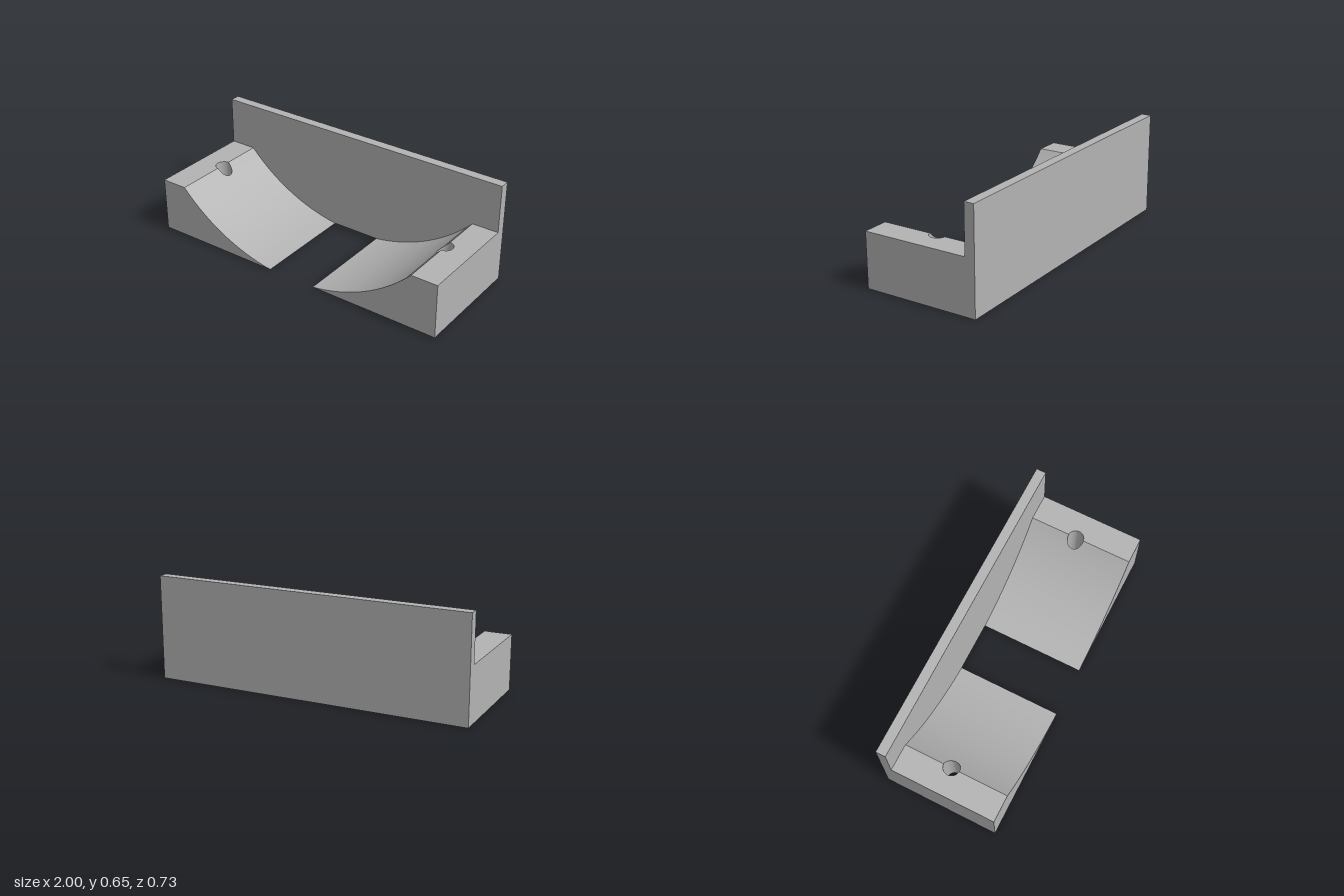
import * as THREE from 'three';
import { toCreasedNormals } from 'three/addons/utils/BufferGeometryUtils.js';

const FRONT = 0.367, BACK = -0.367, PLATE_FRONT = -0.305;
const PLATE_TOP = 0.653, BLOCK_TOP = 0.347;
const INNER = 0.16, EDGE = 0.83;          // x where the cradle arc starts and ends
const HOLE_X = 0.826, HOLE_R = 0.051;

// Circle through (INNER, 0) and (EDGE, BLOCK_TOP), centred on x = 0
const ARC_Y = (EDGE ** 2 - INNER ** 2 + BLOCK_TOP ** 2) / (2 * BLOCK_TOP);
const ARC_R = Math.hypot(INNER, ARC_Y);

// Height of the block's upper surface at x
function height(x) {
  const a = Math.abs(x);
  if (a >= EDGE) return BLOCK_TOP;
  return Math.max(0, ARC_Y - Math.sqrt(ARC_R ** 2 - a * a));
}

// Half depth of the screw hole at x
function holeHalf(x) {
  const d = Math.abs(x) - HOLE_X;
  return Math.sqrt(Math.max(0, HOLE_R ** 2 - d * d));
}

// Cradle block: slices along x, each split in two where the hole passes through
function blockGeometry(side) {
  const cols = [EDGE, 1];
  const holeStart = HOLE_X - HOLE_R;
  for (let i = 0; i <= 20; i++) cols.push(INNER + (holeStart - INNER) * i / 20);
  for (let i = 0; i < 16; i++) cols.push(HOLE_X + HOLE_R * Math.cos(Math.PI * i / 16));
  const xs = cols.map((x) => x * side).sort((a, b) => a - b);

  const pos = [];
  const tri = (a, b, c) => {
    const t = new THREE.Triangle(a, b, c);
    if (t.getArea() > 1e-9) pos.push(...a.toArray(), ...b.toArray(), ...c.toArray());
  };
  const quad = (a, b, c, d) => { tri(a, b, c); tri(a, c, d); };
  const P = (x, y, z) => new THREE.Vector3(x, y, z);

  for (let i = 0; i < xs.length - 1; i++) {
    const x0 = xs[i], x1 = xs[i + 1];
    if (x1 - x0 < 1e-7) continue;
    const h0 = height(x0), h1 = height(x1);
    const s0 = holeHalf(x0), s1 = holeHalf(x1);
    const inHole = holeHalf((x0 + x1) / 2) > 0;
    // Each span: back z at x0 and x1, then front z at x0 and x1
    const spans = inHole
      ? [[PLATE_FRONT, PLATE_FRONT, -s0, -s1], [s0, s1, FRONT, FRONT]]
      : [[PLATE_FRONT, PLATE_FRONT, FRONT, FRONT]];
    for (const [b0, b1, f0, f1] of spans) {
      quad(P(x0, h0, f0), P(x1, h1, f1), P(x1, h1, b1), P(x0, h0, b0));
      quad(P(x0, 0, b0), P(x1, 0, b1), P(x1, 0, f1), P(x0, 0, f0));
      quad(P(x0, 0, f0), P(x1, 0, f1), P(x1, h1, f1), P(x0, h0, f0));
      quad(P(x0, h0, b0), P(x1, h1, b1), P(x1, 0, b1), P(x0, 0, b0));
    }
  }

  // Outer end face
  const end = [P(side, 0, FRONT), P(side, 0, PLATE_FRONT),
    P(side, BLOCK_TOP, PLATE_FRONT), P(side, BLOCK_TOP, FRONT)];
  if (side < 0) end.reverse();
  quad(...end);

  const geo = new THREE.BufferGeometry();
  geo.setAttribute('position', new THREE.Float32BufferAttribute(pos, 3));
  return toCreasedNormals(geo, 0.4);
}

export function createModel() {
  const group = new THREE.Group();
  group.name = 'cradleBracket';
  const grey = new THREE.MeshStandardMaterial({ color: 0xb3b3b3 });
  grey.name = 'grey';

  // Upright plate along the back
  const depth = PLATE_FRONT - BACK;
  const plate = new THREE.Mesh(new THREE.BoxGeometry(2, PLATE_TOP, depth), grey);
  plate.name = 'backPlate';
  plate.position.set(0, PLATE_TOP / 2, BACK + depth / 2);
  group.add(plate);

  // Curved cradle blocks with vertical screw holes
  for (const side of [1, -1]) {
    const block = new THREE.Mesh(blockGeometry(side), grey);
    block.name = side > 0 ? 'leftCradleBlock' : 'rightCradleBlock';
    group.add(block);
  }
  return group;
}
